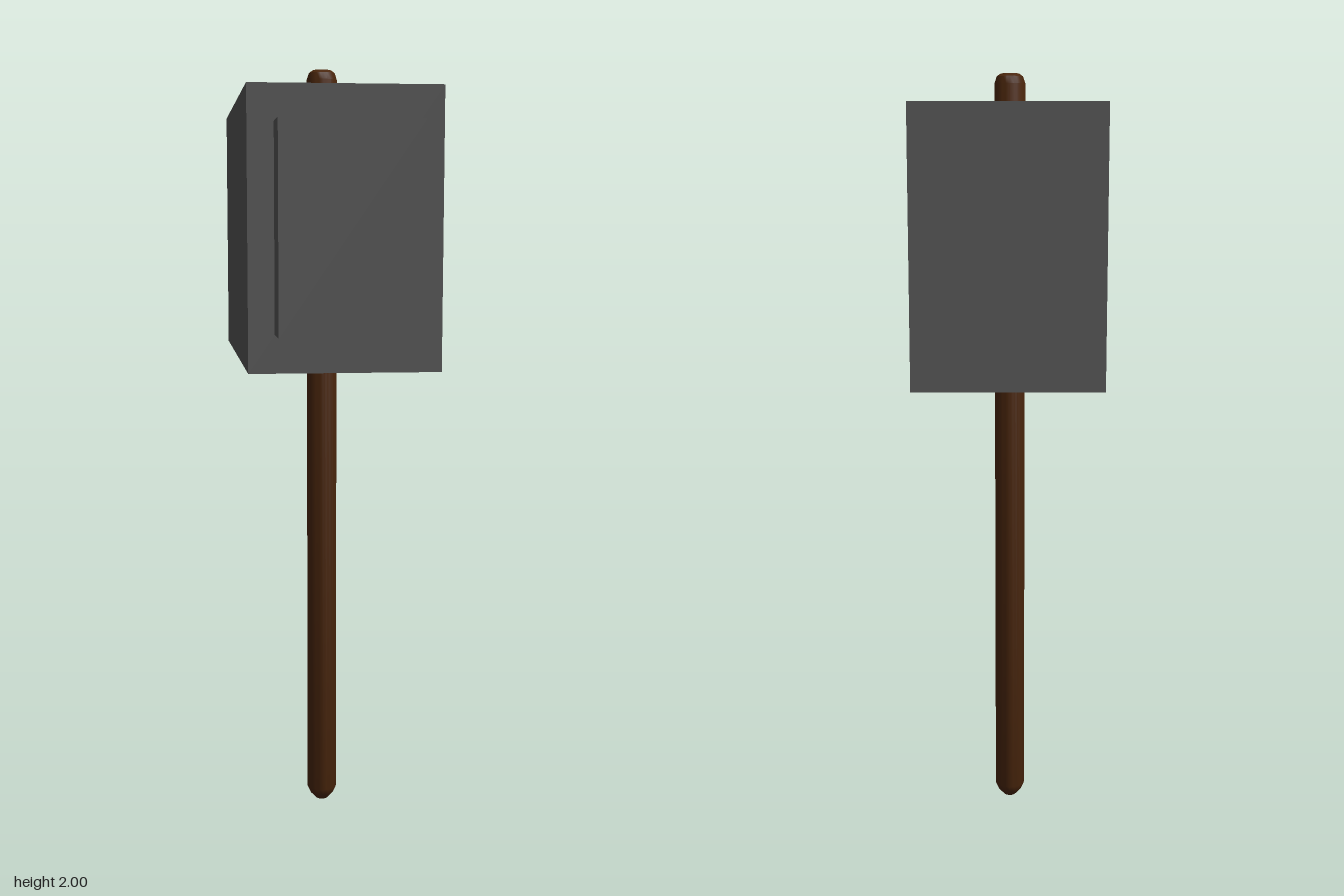
import * as THREE from 'three';
import { toCreasedNormals } from 'three/addons/utils/BufferGeometryUtils.js';

export function createModel() {
  const model = new THREE.Group();
  model.name = 'hammer';
  const metal = new THREE.MeshStandardMaterial({ color: 0x555555 });
  const wood = new THREE.MeshStandardMaterial({ color: 0x4a260c });

  const add = (name, geometry, material, y, z = 0) => {
    const mesh = new THREE.Mesh(geometry, material);
    mesh.name = name;
    mesh.position.set(0, y, z);
    model.add(mesh);
  };

  // Round handle through the head: tapered foot, small bevel on top
  const profile = [
    [0, 0], [0.016, 0.003], [0.032, 0.02], [0.04, 0.038],
    [0.04, 1.975], [0.034, 1.993], [0.024, 2], [0, 2],
  ].map(([r, y]) => new THREE.Vector2(r, y));
  add('handle', toCreasedNormals(new THREE.LatheGeometry(profile, 24), 0.6), wood, 0);

  // Main block of the head
  add('head', new THREE.BoxGeometry(0.456, 0.66, 1.044), metal, 1.585);

  // Smaller striking face on each end
  for (const side of [1, -1]) {
    const name = side > 0 ? 'frontStrikingFace' : 'backStrikingFace';
    add(name, new THREE.BoxGeometry(0.332, 0.485, 0.14), metal, 1.5875, side * 0.57);
  }
  return model;
}
